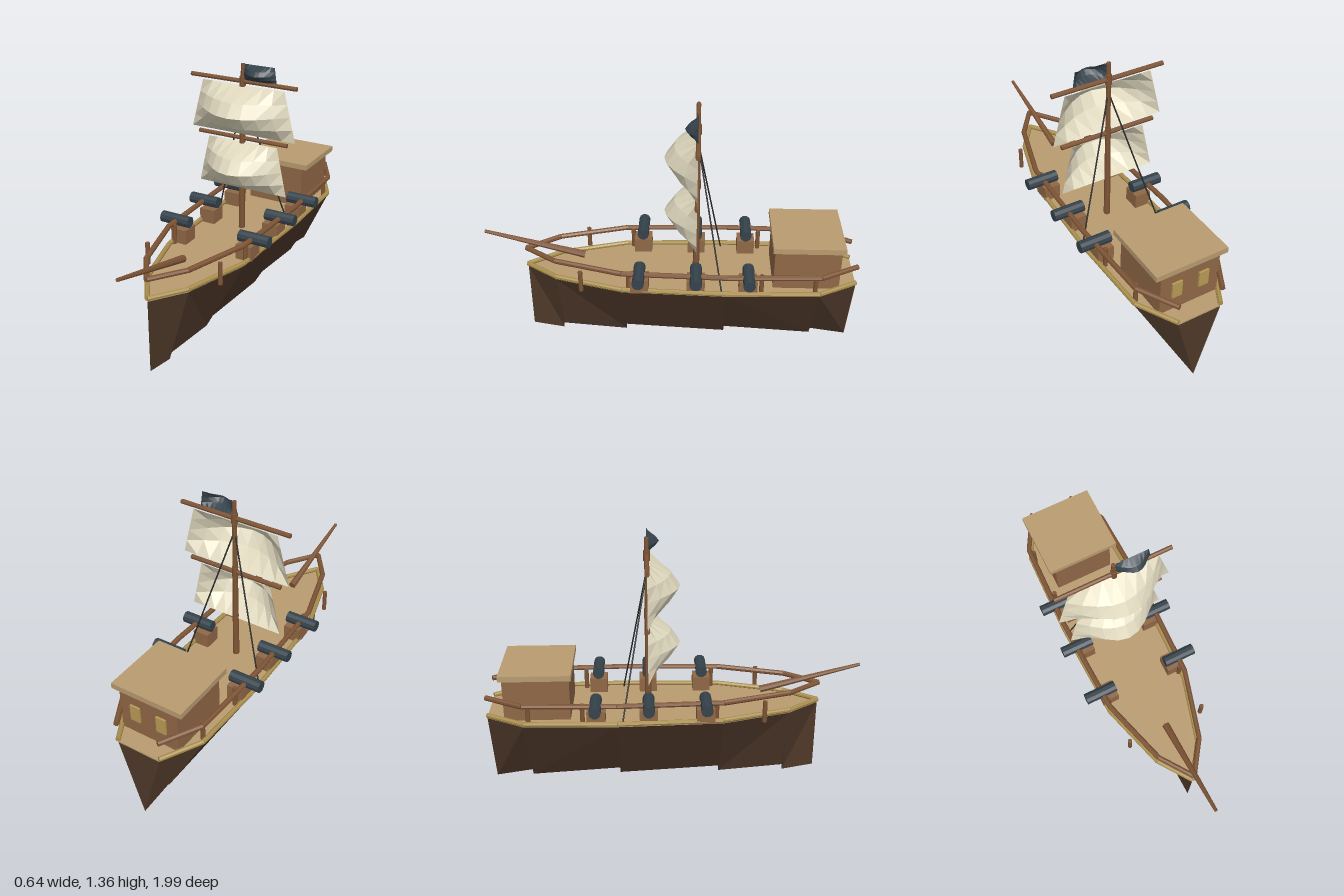
import * as THREE from 'three';

const mat = (color, side = THREE.FrontSide) =>
  new THREE.MeshStandardMaterial({ color, flatShading: true, side });

export function createModel() {
  const ship = new THREE.Group();
  ship.name = 'sailingShip';
  const hullMat = mat(0x4e3829), woodMat = mat(0x7d5435), cabinMat = mat(0x8f6746);
  const deckMat = mat(0xb89b70), trimMat = mat(0xa88d4c), ironMat = mat(0x35424b);
  const ropeMat = mat(0x2a2a2a), windowMat = mat(0xb89a55);
  const sailMat = mat(0xded7bd, THREE.DoubleSide), flagMat = mat(0x35424b, THREE.DoubleSide);

  const add = (name, geometry, material, parent = ship) => {
    const mesh = new THREE.Mesh(geometry, material);
    mesh.name = name;
    parent.add(mesh);
    return mesh;
  };
  const group = (name) => {
    const g = new THREE.Group();
    g.name = name;
    ship.add(g);
    return g;
  };
  const box = (name, size, pos, material, parent) =>
    add(name, new THREE.BoxGeometry(...size), material, parent).position.set(...pos);
  // Round bar from point a to point b, with a radius at each end
  const bar = (name, a, b, ra, rb, material, parent, sides = 8) => {
    const from = new THREE.Vector3(...a), dir = new THREE.Vector3(...b).sub(from);
    const mesh = add(name, new THREE.CylinderGeometry(rb, ra, dir.length(), sides), material, parent);
    mesh.position.copy(from).addScaledVector(dir, 0.5);
    mesh.quaternion.setFromUnitVectors(new THREE.Vector3(0, 1, 0), dir.normalize());
  };

  // Deck outline from bow to stern: [z, half width]
  const stations = [[0.78, 0], [0.61, 0.12], [0.25, 0.225], [-0.3, 0.245], [-0.785, 0.23], [-0.985, 0.12]];
  const deckY = 0.42;

  // Hull: V-shaped sections whose keel steps down toward the stern
  const hull = group('hull');
  const rails = group('rails');
  for (let i = 0; i < stations.length - 1; i++) {
    const [z0, w0] = stations[i], [z1, w1] = stations[i + 1];
    const A = [w0, deckY, z0], B = [-w0, deckY, z0], K0 = [0, 0.03, z0];
    const C = [w1, deckY, z1], D = [-w1, deckY, z1], K1 = [0, 0, z1];
    const corners = [A, K0, K1, A, K1, C, B, K1, K0, B, D, K1, B, K0, A, C, K1, D];
    const geometry = new THREE.BufferGeometry();
    geometry.setAttribute('position', new THREE.Float32BufferAttribute(corners.flat(), 3));
    geometry.computeVertexNormals();
    add('hullSection', geometry, hullMat, hull);

    // Edge trim and handrail follow the outline on both sides
    for (const s of [-1, 1]) {
      bar('deckTrim', [s * w0, 0.438, z0], [s * w1, 0.438, z1], 0.013, 0.013, trimMat, rails);
      bar('handrail', [s * w0, 0.54, z0], [s * w1, 0.54, z1], 0.014, 0.014, woodMat, rails);
    }
  }

  // Deck plate
  const outline = [
    ...stations.map(([z, w]) => new THREE.Vector2(w, -z)),
    ...stations.slice(1).reverse().map(([z, w]) => new THREE.Vector2(-w, -z)),
  ];
  const deck = new THREE.ExtrudeGeometry(new THREE.Shape(outline), { depth: 0.008, bevelEnabled: false });
  deck.rotateX(-Math.PI / 2);
  add('deck', deck, deckMat).position.y = deckY;

  // Rail posts, cannons and shrouds, mirrored
  const guns = group('cannons');
  const rigging = group('rigging');
  const mastZ = -0.137;
  for (const s of [-1, 1]) {
    for (const z of [0.465, 0.215, -0.14, -0.48, -0.76])
      bar('railPost', [s * 0.213, deckY, z], [s * 0.213, 0.54, z], 0.012, 0.012, woodMat, rails);
    for (const z of [0.158, mastZ, -0.41]) {
      box('cannonBase', [0.09, 0.08, 0.095], [s * 0.196, 0.468, z], cabinMat, guns);
      bar('cannonBarrel', [s * 0.15, 0.54, z], [s * 0.322, 0.54, z], 0.031, 0.031, ironMat, guns, 10);
    }
    bar('shroud', [0, 1.19, mastZ], [s * 0.225, deckY, -0.275], 0.004, 0.004, ropeMat, rigging, 6);
  }

  // Mast, yards and bowsprit
  bar('mast', [0, deckY, mastZ], [0, 1.355, mastZ], 0.018, 0.011, woodMat);
  for (const [y, w] of [[1.262, 0.31], [0.952, 0.264]]) {
    bar('yard', [-w, y, mastZ], [w, y, mastZ], 0.012, 0.012, woodMat, rigging);
    bar('yardCollar', [0, y - 0.027, mastZ], [0, y + 0.027, mastZ], 0.017, 0.017, woodMat, rigging);
  }
  bar('bowsprit', [0, 0.505, 0.465], [0, 0.643, 0.997], 0.02, 0.009, woodMat);

  // Billowing cloth: a trapezoid grid pushed forward in the middle
  const cloth = (name, x, yTop, yBottom, wTop, wBottom, bulge, material) => {
    const geometry = new THREE.PlaneGeometry(1, 1, 8, 4);
    const p = geometry.attributes.position;
    for (let i = 0; i < p.count; i++) {
      const u = p.getX(i) + 0.5, v = 0.5 - p.getY(i);
      const halfWidth = THREE.MathUtils.lerp(wTop, wBottom, v);
      p.setXYZ(i, x + (2 * u - 1) * halfWidth, THREE.MathUtils.lerp(yTop, yBottom, v),
        mastZ + bulge * Math.sin(Math.PI * u) * Math.sin(Math.PI * v));
    }
    geometry.computeVertexNormals();
    add(name, geometry, material);
  };
  cloth('upperSail', 0, 1.24, 0.973, 0.24, 0.308, 0.17, sailMat);
  cloth('lowerSail', 0, 0.93, 0.663, 0.205, 0.264, 0.17, sailMat);
  cloth('flag', 0.098, 1.355, 1.268, 0.085, 0.098, 0.065, flagMat);

  // Stern cabin with overhanging roof and two rear windows
  const cabin = group('cabin');
  box('cabinWalls', [0.33, 0.25, 0.345], [0, 0.545, -0.717], cabinMat, cabin);
  box('cabinRoof', [0.4, 0.03, 0.372], [0, 0.68, -0.717], deckMat, cabin);
  for (const s of [-1, 1])
    box('cabinWindow', [0.055, 0.09, 0.02], [s * 0.075, 0.555, -0.89], windowMat, cabin);

  return ship;
}
